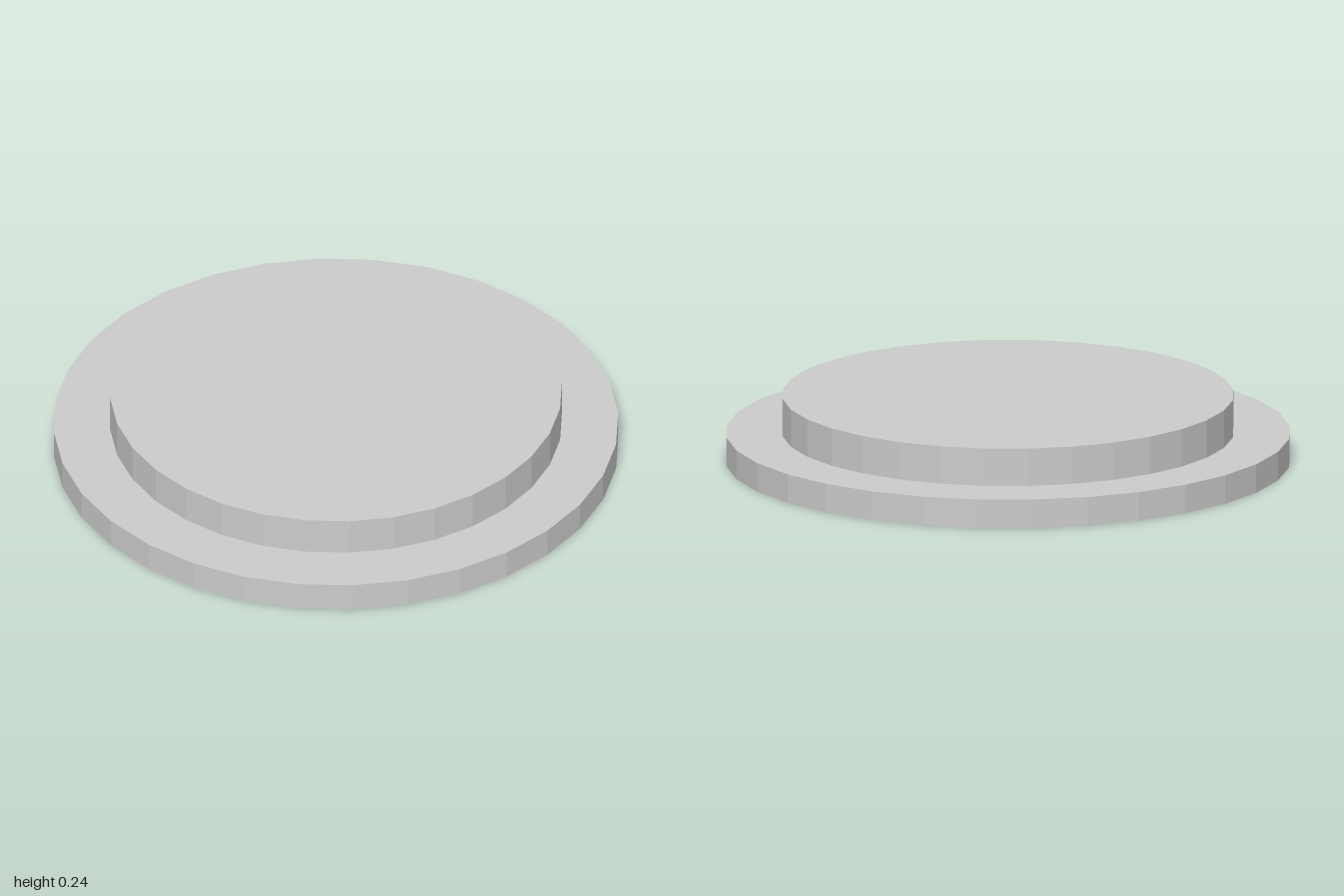
import * as THREE from 'three';

const SIDES = 32;

export function createModel() {
  const model = new THREE.Group();
  model.name = 'steppedCover';
  const material = new THREE.MeshStandardMaterial({
    color: 0xcccccc, flatShading: true, side: THREE.DoubleSide,
  });

  // Thin turned shell: profile of [radius, height] from the outside in
  const addShell = (name, profile) => {
    const points = profile.map(([r, y]) => new THREE.Vector2(r, y));
    const mesh = new THREE.Mesh(new THREE.LatheGeometry(points, SIDES), material);
    mesh.name = name;
    model.add(mesh);
  };

  // Wide lower rim with its flat ledge, open underneath
  addShell('rim', [[1, 0], [1, 0.104], [0.8, 0.104]]);
  // Raised centre, closed on top and hollow below
  addShell('raisedTop', [[0.8, 0.104], [0.8, 0.24], [0, 0.24]]);

  return model;
}
